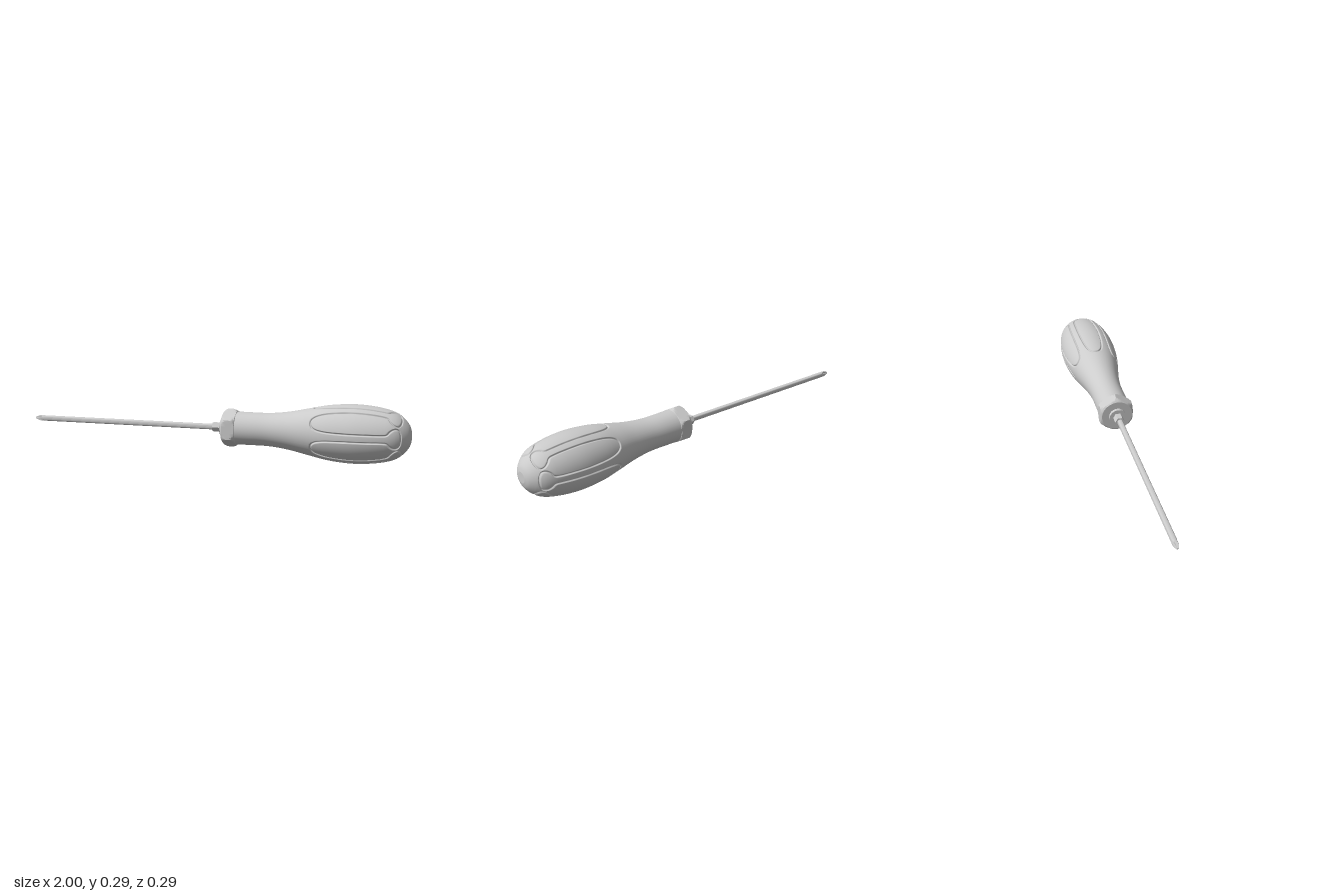
import * as THREE from 'three';
import { toCreasedNormals } from 'three/addons/utils/BufferGeometryUtils.js';

const AXIS = 0.146; // height of the tool's centre line
const RAD = Math.PI / 180;
const steps = (a, b, n) => Array.from({ length: n }, (_, i) => a + (b - a) * i / n);
const evenAngles = (n) => steps(0, Math.PI * 2, n);

// Skin closed rings along x. Each ring is a list of [x, radius, angle].
function skin(rings) {
  const n = rings[0].length, pos = [], idx = [];
  for (const ring of rings)
    for (const [x, r, a] of ring) pos.push(x, r * Math.sin(a), r * Math.cos(a));
  for (let i = 0; i < rings.length - 1; i++)
    for (let j = 0; j < n; j++) {
      const a = i * n + j, c = i * n + (j + 1) % n;
      idx.push(a, a + n, c, a + n, c + n, c);
    }
  const g = new THREE.BufferGeometry();
  g.setAttribute('position', new THREE.Float32BufferAttribute(pos, 3));
  g.setIndex(idx);
  g.computeVertexNormals();
  return g;
}

// Piecewise linear lookup in a list of points with rising x
function lookup(pts, x) {
  if (x <= pts[0].x) return pts[0].y;
  for (let i = 1; i < pts.length; i++)
    if (x <= pts[i].x) {
      const p = pts[i - 1], q = pts[i];
      return p.y + (q.y - p.y) * (x - p.x) / Math.max(q.x - p.x, 1e-9);
    }
  return pts[pts.length - 1].y;
}

const spline = (list, n) =>
  new THREE.SplineCurve(list.map(([x, y]) => new THREE.Vector2(x, y))).getPoints(n);

// Grip: revolved profile with a groove outlining six pads and the tail cap
function gripGeometry() {
  const profile = spline([[0.115, 0.084], [0.2, 0.083], [0.3, 0.084], [0.4, 0.096], [0.5, 0.117],
    [0.6, 0.137], [0.71, 0.146], [0.8, 0.142], [0.88, 0.129], [0.93, 0.112], [0.965, 0.086],
    [0.99, 0.055], [1, 0.028]], 300);
  const radius = (x) => lookup(profile, x);

  // Groove path in one half sector: x against degrees from the strip's middle
  const path = spline([[0.525, 30], [0.528, 23], [0.541, 16.5], [0.565, 12], [0.61, 9], [0.7, 7.5],
    [0.8, 7.5], [0.87, 8], [0.895, 10], [0.91, 18], [0.925, 24], [0.94, 26], [0.95, 23],
    [0.957, 13], [0.959, 0]], 260);
  const onSurface = (x, deg) => {
    const r = radius(x);
    return new THREE.Vector3(x, r * Math.sin(deg * RAD), r * Math.cos(deg * RAD));
  };
  const groove = path.map((p) => onSurface(p.x, p.y));
  const carve = (x, deg) => {
    const p = onSurface(x, deg);
    let d = 1;
    for (const q of groove) d = Math.min(d, p.distanceTo(q));
    const t = Math.max(0, 1 - d / 0.0055);
    return 0.0065 * Math.min(1, t * 1.5);
  };

  const xs = [...steps(0.115, 0.515, 24), ...steps(0.515, 0.575, 30), ...steps(0.575, 0.885, 28),
    ...steps(0.885, 0.97, 52), ...steps(0, 1, 12).map((u) => 1 - 0.03 * (1 - u) ** 2), 1];
  const N = 8;
  const rings = xs.map((x) => {
    // Columns crowd around the groove
    const w = Math.min(26.5, Math.max(3.5, lookup(path, x)));
    const degs = [...steps(0, w - 3, N), ...steps(w - 3, w + 3, N), ...steps(w + 3, 30, N), 30];
    const cut = degs.map((d) => (x > 0.51 && x < 0.975 ? carve(x, d) : 0));
    const r = radius(x), ring = [], n = degs.length - 1;
    for (let k = 0; k < 6; k++)
      for (let j = -n; j < n; j++) {
        const m = Math.abs(j);
        ring.push([x, r - cut[m], (k * 60 + Math.sign(j) * degs[m]) * RAD]);
      }
    return ring;
  });
  rings.push(rings[rings.length - 1].map(([, , a]) => [1, 0, a])); // flat tail disc
  return skin(rings);
}

// Hexagonal bolster: a hexagon trimmed by a rounded, turned outline
function bolsterGeometry() {
  const outline = [[0.06, 0], [0.06, 0.08], [0.066, 0.088], [0.076, 0.095], [0.088, 0.098],
    [0.108, 0.098], [0.12, 0.094], [0.13, 0.087], [0.134, 0.08]];
  const hex = (a) => 0.085 / Math.cos(((a + Math.PI / 6) % (Math.PI / 3)) - Math.PI / 6);
  return toCreasedNormals(skin(outline.map(([x, c]) =>
    evenAngles(96).map((a) => [x, Math.min(c, hex(a)), a]))), 0.45);
}

// Cross tip: tapering rod, cut by four flutes that leave four ribs
function tipGeometry() {
  const sections = [[-1, 0, 0.002], [-1, 0.004, 0.002], [-0.992, 0.008, 0.0028],
    [-0.978, 0.0135, 0.004], [-0.97, 0.0145, 0.0055], [-0.96, 0.0145, 0.008], [-0.95, 0.0145, 0.012]];
  return toCreasedNormals(skin(sections.map(([x, r, rib]) => evenAngles(64).map((a) => {
    const near = Math.min(Math.abs(Math.sin(a)), Math.abs(Math.cos(a)));
    return [x, Math.min(r, rib / Math.max(near, 1e-4)), a];
  }))), 0.5);
}

export function createModel() {
  const model = new THREE.Group();
  model.name = 'screwdriver';
  const material = new THREE.MeshStandardMaterial({ color: 0xcccccc });
  const add = (name, geometry) => {
    const mesh = new THREE.Mesh(geometry, material);
    mesh.name = name;
    mesh.position.y = AXIS;
    model.add(mesh);
  };
  // Straight bar along x with any number of sides
  const bar = (x0, x1, r, sides) => toCreasedNormals(
    new THREE.CylinderGeometry(r, r, x1 - x0, sides).rotateZ(-Math.PI / 2)
      .translate((x0 + x1) / 2, 0, 0), 0.6);

  add('grip', gripGeometry());
  add('bolster', bolsterGeometry());
  add('collar', bar(0.044, 0.064, 0.043, 48));
  add('shankNut', bar(0, 0.048, 0.025, 6));
  add('shaft', bar(-0.95, 0.01, 0.0145, 32));
  add('crossTip', tipGeometry());
  return model;
}
